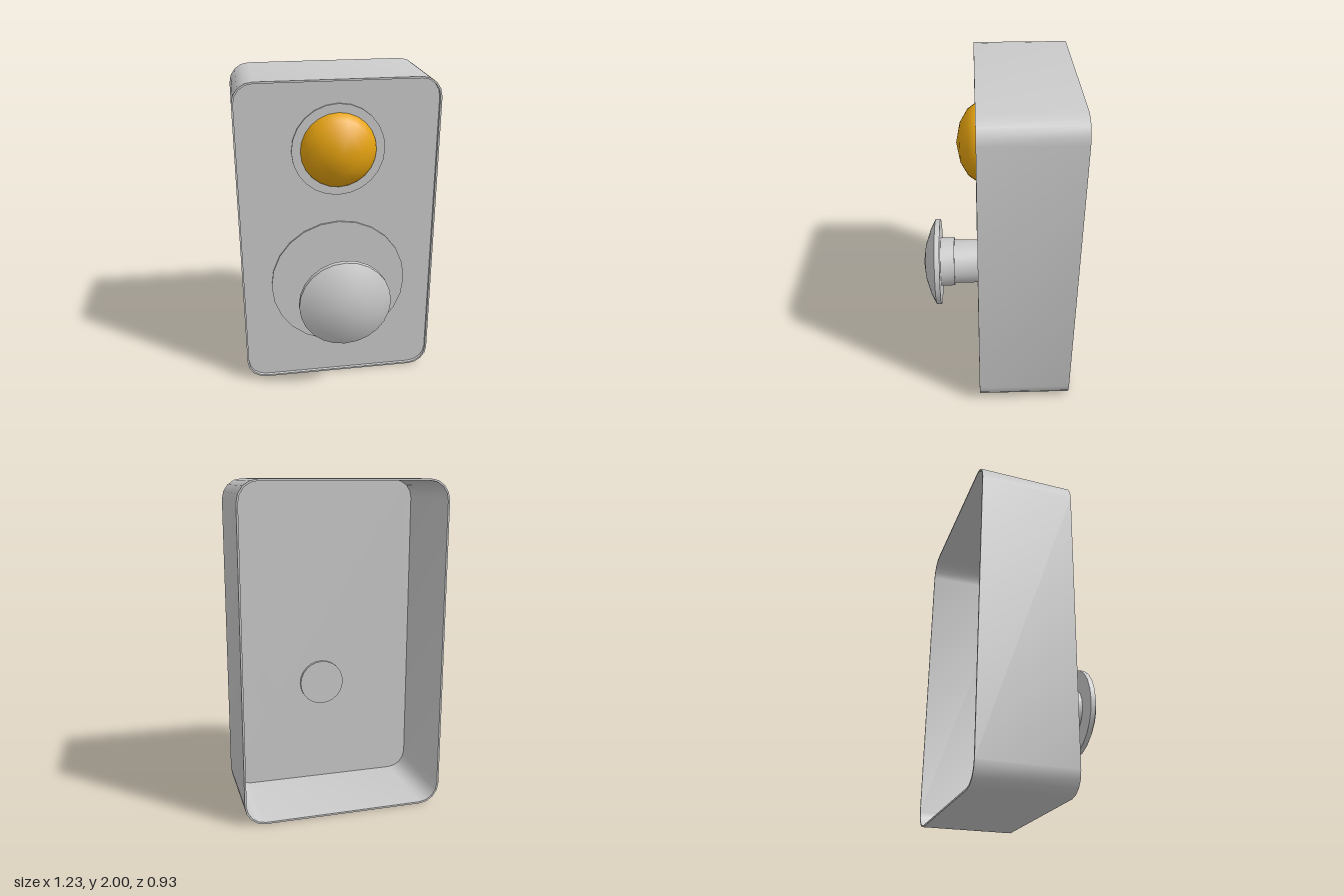
import * as THREE from 'three';
import { toCreasedNormals } from 'three/addons/utils/BufferGeometryUtils.js';

const grey = new THREE.MeshStandardMaterial({ color: 0xcccccc, side: THREE.DoubleSide });
const amber = new THREE.MeshStandardMaterial({ color: 0xe6a310, side: THREE.DoubleSide });
const SEGMENTS = 24;
const FRONT = 0.11, BACK = -0.465, PANEL = 0.09;

// Rounded rectangle centred on the origin
function roundedRect(Type, halfW, halfH, r) {
  const path = new Type();
  path.absarc(halfW - r, halfH - r, r, 0, Math.PI / 2);
  path.absarc(-halfW + r, halfH - r, r, Math.PI / 2, Math.PI);
  path.absarc(-halfW + r, -halfH + r, r, Math.PI, Math.PI * 1.5);
  path.absarc(halfW - r, -halfH + r, r, Math.PI * 1.5, Math.PI * 2);
  path.closePath();
  return path;
}

function extrude(shape, z0, z1) {
  const geo = new THREE.ExtrudeGeometry(shape, { depth: z1 - z0, bevelEnabled: false, curveSegments: 2 });
  geo.translate(0, 0, z0);
  return toCreasedNormals(geo, 0.9);
}

// Turned part around the z axis; profile is [radius, z] from back to front
function turned(profile, crease = 0.7) {
  const geo = new THREE.LatheGeometry(profile.map(([r, z]) => new THREE.Vector2(r, z)), SEGMENTS);
  geo.rotateX(Math.PI / 2);
  return toCreasedNormals(geo, crease);
}

export function createModel() {
  const model = new THREE.Group();
  model.name = 'buttonBox';
  const add = (name, geo, y, material = grey) => {
    const mesh = new THREE.Mesh(geo, material);
    mesh.name = name;
    mesh.position.y = y;
    model.add(mesh);
  };

  // Thin-walled housing, open at the back
  const wall = roundedRect(THREE.Shape, 0.616, 1, 0.125);
  wall.holes.push(roundedRect(THREE.Path, 0.605, 0.989, 0.114));
  wall.curveSegments = 4;
  add('housingWall', extrude(wall, BACK, FRONT), 1);

  // Front panel set slightly behind the rim
  const panel = new THREE.ShapeGeometry(roundedRect(THREE.Shape, 0.606, 0.99, 0.115), 2);
  panel.translate(0, 0, PANEL);
  add('frontPanel', panel, 1);

  // Raised discs behind the lamp and the knob
  const disc = (r) => turned([[0, PANEL], [r, PANEL], [r, PANEL + 0.012], [0, PANEL + 0.012]]);
  add('lampSurround', disc(0.283), 1.575);
  add('knobSurround', disc(0.432), 0.68);

  // Amber lamp dome
  add('lampDome', turned([[0.23, 0.1], [0.228, 0.112], [0.197, 0.155], [0.118, 0.201], [0, 0.224]]), 1.575, amber);

  // Push knob: shaft, collar and domed cap
  add('knobShaft', turned([[0, 0.07], [0.144, 0.07], [0.144, 0.26]]), 0.68);
  add('knobCollar', turned([[0, 0.26], [0.161, 0.26], [0.161, 0.35]]), 0.68);
  add('knobCap', turned([
    [0, 0.35], [0.284, 0.35], [0.284, 0.382], [0.22, 0.415], [0.12, 0.448], [0, 0.465],
  ]), 0.68);

  return model;
}
